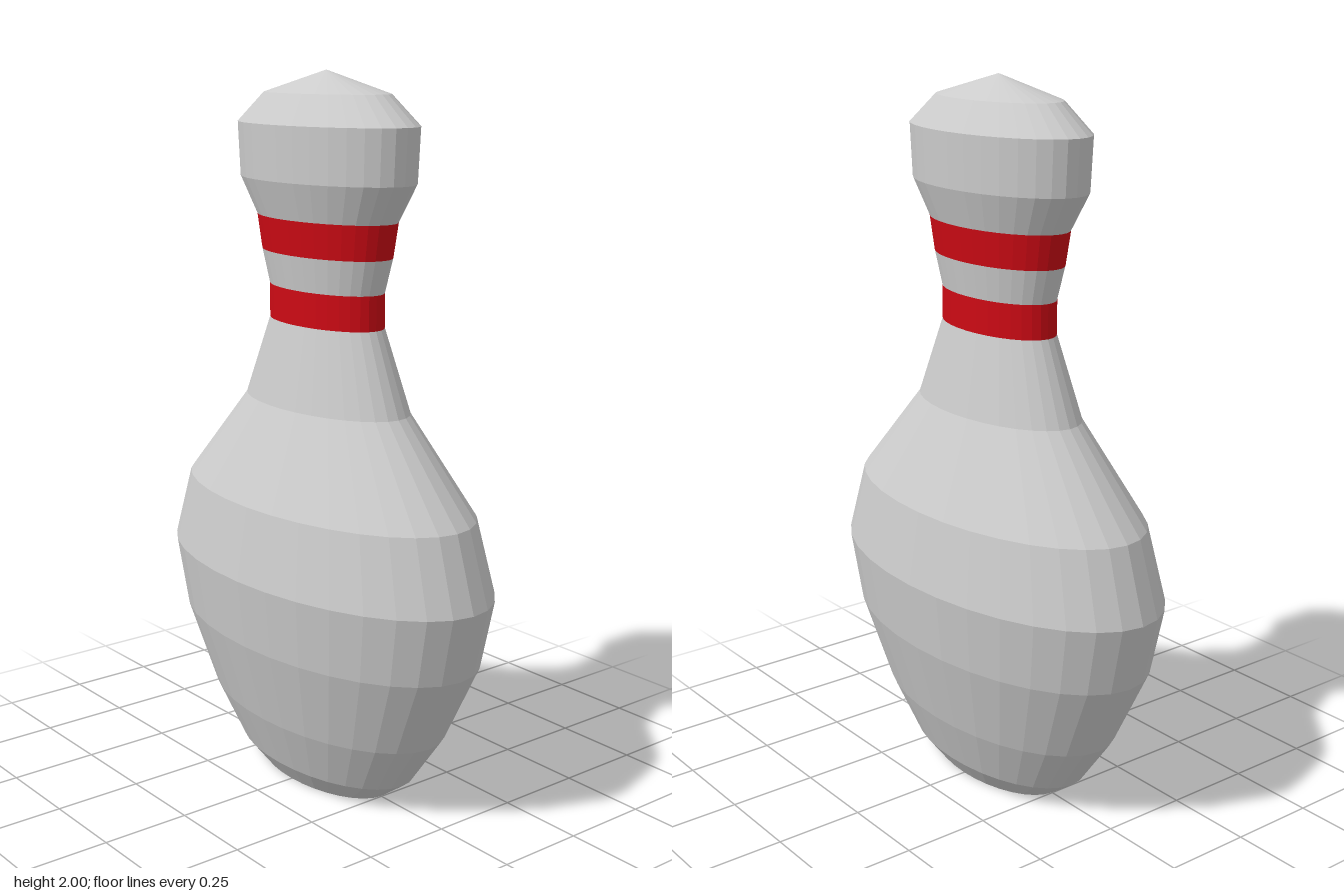
import * as THREE from 'three';

const SIDES = 32;
const DEPTH = 0.515; // depth of the pin relative to its width

const grey = new THREE.MeshStandardMaterial({ color: 0xcccccc, flatShading: true });
const red = new THREE.MeshStandardMaterial({ color: 0xcc0a14, flatShading: true });

// One flattened, turned section; profile is [radius, height] from bottom to top
function section(name, profile, material) {
  const points = profile.map(([r, y]) => new THREE.Vector2(r, y));
  const geometry = new THREE.LatheGeometry(points, SIDES);
  geometry.scale(1, 1, DEPTH);
  const mesh = new THREE.Mesh(geometry, material);
  mesh.name = name;
  return mesh;
}

export function createModel() {
  const pin = new THREE.Group();
  pin.name = 'bowlingPin';

  // Rings where the grey sections meet the stripes
  const lowerStripe = [[0.212, 1.325], [0.212, 1.42]];
  const upperStripe = [[0.24, 1.515], [0.258, 1.61]];

  // Closed base, belly and shoulders
  pin.add(section('body', [
    [0, 0], [0.248, 0], [0.336, 0.063], [0.445, 0.212], [0.562, 0.443],
    [0.607, 0.638], [0.54, 0.843], [0.306, 1.1], lowerStripe[0],
  ], grey));

  // Neck with its two stripes
  pin.add(section('lowerStripe', lowerStripe, red));
  pin.add(section('neck', [lowerStripe[1], upperStripe[0]], grey));
  pin.add(section('upperStripe', upperStripe, red));

  // Head with a shallow pointed crown
  pin.add(section('head', [
    upperStripe[1], [0.321, 1.712], [0.33, 1.86], [0.23, 1.94], [0, 2],
  ], grey));

  return pin;
}
